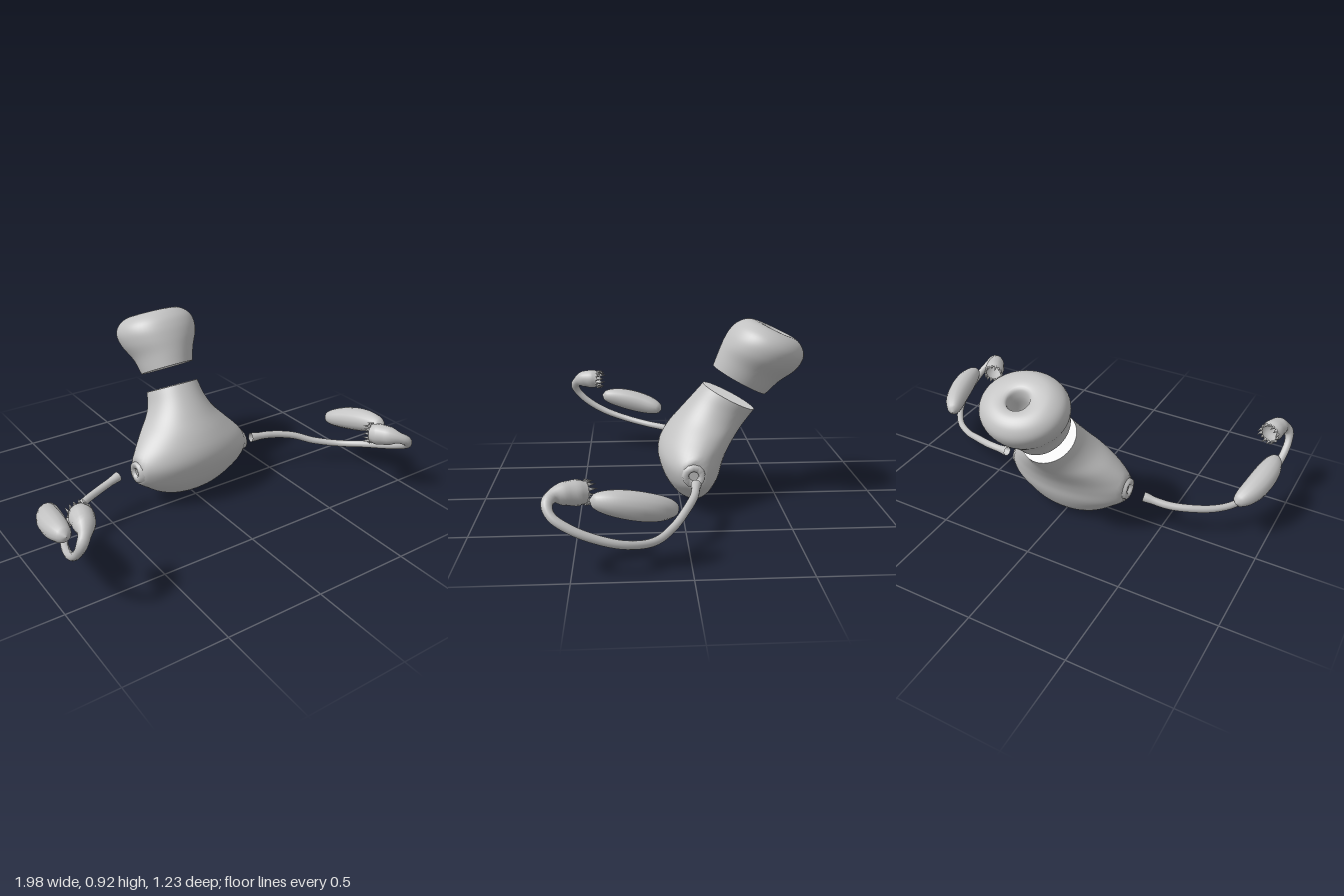
import * as THREE from 'three';

const tissue = new THREE.MeshStandardMaterial({ color: 0xc2c2c2, side: THREE.DoubleSide });
tissue.name = 'grey tissue';
const cutFace = new THREE.MeshStandardMaterial({ color: 0xf4f4f4 });
cutFace.name = 'pale cut face';

// Skin a list of closed rings of points, ordered from bottom to top
function skin(rings) {
  const n = rings[0].length, index = [];
  for (let i = 0; i < rings.length - 1; i++) {
    for (let j = 0; j < n; j++) {
      const k = (j + 1) % n, a = i * n + j, b = i * n + k;
      index.push(a, a + n, b, b, a + n, b + n);
    }
  }
  const geometry = new THREE.BufferGeometry().setFromPoints(rings.flat());
  geometry.setIndex(index);
  geometry.computeVertexNormals();
  return geometry;
}

// Rings from keys: front z, front y, back z, back y, half width, centre x
function tiltedRings(keys, steps, limit) {
  const curve = (f) => new THREE.CatmullRomCurve3(keys.map(f), false, 'catmullrom');
  const front = curve((k) => new THREE.Vector3(k[4], k[1], k[0]));
  const back = curve((k) => new THREE.Vector3(k[5], k[3], k[2]));
  return Array.from({ length: steps + 1 }, (_, i) => {
    const f = front.getPoint(i / steps), b = back.getPoint(i / steps);
    const w = Math.max(f.x, 0), cx = b.x;
    const power = 1 + 0.9 * Math.max(0, w - 0.14) * (limit < 1 ? 1 : 0);
    return Array.from({ length: 56 }, (_, j) => {
      const a = (j / 56) * Math.PI * 2;
      const s = Math.sign(Math.sin(a)) * Math.abs(Math.sin(a)) ** power;
      const x = THREE.MathUtils.clamp(cx + w * Math.cos(a), -limit, limit);
      return new THREE.Vector3(x, (f.y + b.y) / 2 + s * (f.y - b.y) / 2, (f.z + b.z) / 2 + s * (f.z - b.z) / 2);
    });
  });
}

// Sweep a circle of changing radius along a smooth path
function sweep(points, radius, steps, sides) {
  const path = new THREE.CatmullRomCurve3(points.map((p) => new THREE.Vector3(...p)));
  const { normals, binormals, tangents } = path.computeFrenetFrames(steps);
  const rings = tangents.map((_, i) => {
    const c = path.getPointAt(i / steps), r = radius(i / steps);
    return Array.from({ length: sides }, (_, j) => {
      const a = (j / sides) * Math.PI * 2;
      return c.clone().addScaledVector(normals[i], r * Math.cos(a)).addScaledVector(binormals[i], -r * Math.sin(a));
    });
  });
  return { rings, tangent: tangents[steps], end: path.getPointAt(1) };
}

// Flat pale disc closing a ring
function cap(ring, up) {
  const centre = ring.reduce((s, p) => s.add(p), new THREE.Vector3()).divideScalar(ring.length);
  const geometry = new THREE.BufferGeometry().setFromPoints([centre, ...ring]);
  const index = [];
  for (let j = 0; j < ring.length; j++) {
    const a = j + 1, b = ((j + 1) % ring.length) + 1;
    index.push(0, ...(up ? [b, a] : [a, b]));
  }
  geometry.setIndex(index);
  geometry.computeVertexNormals();
  return geometry;
}

const bodyKeys = [
  [-0.07, 0, -0.07, 0, 0, 0], [-0.035, 0.01, -0.11, 0.01, 0.09, 0],
  [0.02, 0.05, -0.155, 0.05, 0.19, 0], [0.06, 0.10, -0.185, 0.10, 0.265, 0],
  [0.09, 0.16, -0.205, 0.15, 0.33, 0], [0.11, 0.24, -0.22, 0.21, 0.35, 0],
  [0.10, 0.31, -0.245, 0.27, 0.315, 0], [0.06, 0.385, -0.285, 0.335, 0.25, 0],
  [0, 0.46, -0.32, 0.385, 0.185, 0.005], [-0.06, 0.53, -0.35, 0.425, 0.15, 0.01],
  [-0.12, 0.60, -0.38, 0.465, 0.135, 0.015],
];
const neckKeys = [
  [-0.17, 0.69, -0.435, 0.545, 0.135, 0.018], [-0.195, 0.76, -0.50, 0.61, 0.16, 0.025],
  [-0.22, 0.82, -0.58, 0.67, 0.20, 0.03], [-0.25, 0.87, -0.618, 0.73, 0.212, 0.03],
  [-0.29, 0.907, -0.61, 0.785, 0.19, 0.03], [-0.35, 0.924, -0.575, 0.825, 0.135, 0.03],
  [-0.42, 0.895, -0.535, 0.835, 0.065, 0.03], [-0.43, 0.85, -0.52, 0.80, 0.05, 0.03],
  [-0.41, 0.77, -0.48, 0.73, 0.035, 0.03], [-0.42, 0.70, -0.42, 0.70, 0, 0.03],
];

// Tube paths, each ending in a funnel
const leftPath = [
  [0.40, 0.195, -0.055], [0.53, 0.185, -0.035], [0.65, 0.165, 0.01], [0.75, 0.13, 0.07],
  [0.87, 0.115, 0.16], [0.95, 0.14, 0.28], [0.975, 0.18, 0.40], [0.975, 0.225, 0.50],
  [0.955, 0.27, 0.57], [0.92, 0.31, 0.59], [0.88, 0.33, 0.57], [0.85, 0.33, 0.52], [0.815, 0.32, 0.44],
];
const rightPath = [
  [-0.42, 0.21, -0.07], [-0.54, 0.185, -0.045], [-0.65, 0.175, 0], [-0.75, 0.165, 0.07],
  [-0.82, 0.165, 0.15], [-0.88, 0.185, 0.27], [-0.92, 0.225, 0.40], [-0.94, 0.28, 0.50],
  [-0.945, 0.34, 0.565], [-0.935, 0.385, 0.585], [-0.91, 0.42, 0.565], [-0.89, 0.437, 0.52], [-0.87, 0.437, 0.44],
];
const ovaryPath = [[0.84, 0.245, 0.055], [0.89, 0.275, 0.17], [0.915, 0.305, 0.30], [0.92, 0.325, 0.42]];
const tubeRadii = [[0, 0.025], [0.05, 0.02], [0.4, 0.018], [0.8, 0.02], [0.87, 0.027], [0.93, 0.05], [0.97, 0.056], [1, 0.048]];

function tubeRadius(t) {
  let i = 0;
  while (i < tubeRadii.length - 2 && t > tubeRadii[i + 1][0]) i++;
  const [t0, r0] = tubeRadii[i], [t1, r1] = tubeRadii[i + 1];
  return THREE.MathUtils.lerp(r0, r1, THREE.MathUtils.smoothstep(t, t0, t1));
}

export function createModel() {
  const model = new THREE.Group();
  const add = (name, geometry, material = tissue) => {
    const mesh = new THREE.Mesh(geometry, material);
    mesh.name = name;
    model.add(mesh);
    return mesh;
  };

  // Pear-shaped body and the separate neck with its canal
  const body = tiltedRings(bodyKeys, 50, 0.318);
  add('body', skin(body));
  add('bodyCutFace', cap(body[50], true), cutFace);
  const neck = tiltedRings(neckKeys, 45, 2);
  add('neck', skin(neck));
  add('neckCutFace', cap(neck[0], false), cutFace);

  for (const side of [1, -1]) {
    const label = side > 0 ? 'left' : 'right';

    // Collar on the side of the body
    const profile = [[0.064, -0.03], [0.054, 0.014], [0.026, 0.014], [0.018, -0.03]];
    const collar = add(label + 'Collar', new THREE.LatheGeometry(profile.map((p) => new THREE.Vector2(...p)), 12));
    collar.position.set(side * 0.318, 0.21, -0.05);
    collar.rotation.z = -side * Math.PI / 2;

    // Curved tube with an open funnel
    const tube = sweep(side > 0 ? leftPath : rightPath, tubeRadius, 90, 14);
    add(label + 'Tube', skin(tube.rings));

    // Fringe of small fingers around the funnel mouth
    tube.rings[90].forEach((p, i) => {
      const length = 0.034 + 0.012 * Math.sin(i * 2.4);
      const finger = add(label + 'Finger', new THREE.ConeGeometry(0.009, length, 5));
      const out = p.clone().sub(tube.end).normalize();
      const dir = tube.tangent.clone().addScaledVector(out, 0.25 * Math.sin(i * 1.7)).normalize();
      finger.position.copy(p).addScaledVector(dir, length * 0.42);
      finger.quaternion.setFromUnitVectors(new THREE.Vector3(0, 1, 0), dir);
    });

    // Bent, bean-like ovary
    const path = ovaryPath.map(([x, y, z]) => [side * (x + (side < 0 ? 0.01 : 0)), y, z]);
    const radius = (t) => 0.062 * Math.pow(Math.max(0, 1 - (2 * t - 1) ** 2), 0.42);
    add(label + 'Ovary', skin(sweep(path, radius, 28, 14).rings));
  }
  return model;
}
